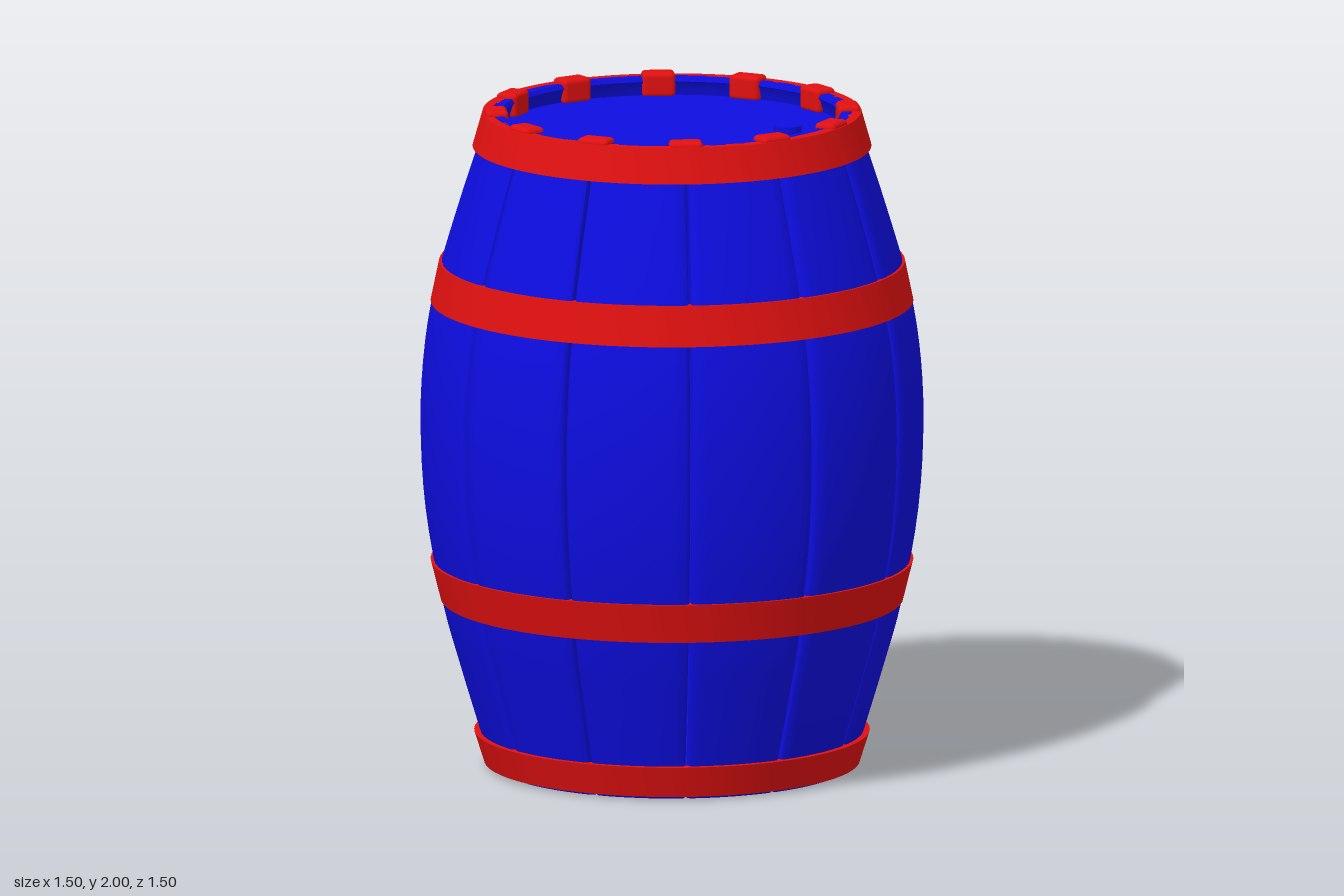
import * as THREE from 'three';
import { toCreasedNormals } from 'three/addons/utils/BufferGeometryUtils.js';
import { RoundedBoxGeometry } from 'three/addons/geometries/RoundedBoxGeometry.js';

const STAVES = 12;
const STEP = (Math.PI * 2) / STAVES;
const THICK = 0.045;
const TOP = 1.985;

// Outer outline of the bulging body: radius, height
const outline = new THREE.SplineCurve([
  [0.54, 0], [0.57, 0.1], [0.63, 0.3], [0.685, 0.5], [0.735, 0.78], [0.75, 1.05],
  [0.737, 1.28], [0.7, 1.48], [0.63, 1.72], [0.578, 1.88], [0.545, TOP],
].map(([r, y]) => new THREE.Vector2(r, y)));

// Cross-section of one plank: t = side to side, e = gap to the neighbour, d = depth
function plankSection() {
  const pts = [];
  const edge = [[0.003, 0.02], [0.006, 0.007], [0.015, 0]];
  for (const [e, d] of edge) pts.push({ t: -1, e, d });
  for (let i = 1; i < 8; i++) pts.push({ t: -1 + i / 4, e: 0, d: 0 });
  for (const [e, d] of [...edge].reverse()) pts.push({ t: 1, e, d });
  for (let i = 0; i <= 4; i++) {
    const t = 1 - i / 2;
    pts.push({ t, e: Math.abs(t) === 1 ? 0.003 : 0, d: THICK });
  }
  return pts;
}

// Plank lofted along the outline, with softened, closed ends
function plankGeometry() {
  const section = plankSection();
  const n = section.length;
  const mid = THICK / 2;
  const rows = outline.getPoints(40).map((p) => ({ r: p.x, y: p.y, squash: 1 }));
  const first = rows[0], last = rows[rows.length - 1];
  rows[0] = { ...first, y: 0.012 };
  rows[rows.length - 1] = { ...last, y: TOP - 0.012 };
  rows.unshift({ ...first, squash: 0 }, { ...first, squash: 0.65 });
  rows.push({ ...last, squash: 0.65 }, { ...last, squash: 0 });

  const position = [], index = [];
  for (const { r, y, squash } of rows) {
    for (const { t, e, d } of section) {
      const radius = r - (mid + (d - mid) * squash);
      const a = t * STEP / 2 - Math.sign(t) * e / r;
      position.push(radius * Math.sin(a), y, radius * Math.cos(a));
    }
  }
  for (let j = 0; j < rows.length - 1; j++) {
    for (let i = 0; i < n; i++) {
      const a = j * n + i, b = j * n + (i + 1) % n;
      index.push(a, b, b + n, a, b + n, a + n);
    }
  }
  const g = new THREE.BufferGeometry();
  g.setAttribute('position', new THREE.Float32BufferAttribute(position, 3));
  g.setIndex(index);
  return toCreasedNormals(g, 0.7);
}

// Conical band with a rectangular cross-section
function hoopGeometry(y0, r0, y1, r1) {
  const w = 0.035;
  const pts = [[r0, y0], [r1, y1], [r1 - w, y1], [r0 - w, y0], [r0, y0]];
  return toCreasedNormals(
    new THREE.LatheGeometry(pts.map(([r, y]) => new THREE.Vector2(r, y)), 72), 0.6);
}

export function createModel() {
  const blue = new THREE.MeshStandardMaterial({ color: 0x0d0de0 });
  const red = new THREE.MeshStandardMaterial({ color: 0xe01010 });
  const model = new THREE.Group();
  model.name = 'barrel';
  const add = (name, geometry, material, x = 0, y = 0, z = 0, turn = 0) => {
    const mesh = new THREE.Mesh(geometry, material);
    mesh.name = name;
    mesh.position.set(x, y, z);
    mesh.rotation.y = turn;
    model.add(mesh);
  };

  // Staves, and a clip over each joint at the top rim
  const plank = plankGeometry();
  const clip = new RoundedBoxGeometry(0.1, 0.075, 0.068, 3, 0.014);
  for (let i = 0; i < STAVES; i++) {
    add('stave', plank, blue, 0, 0, 0, i * STEP);
    const a = (i + 0.5) * STEP;
    add('rimClip', clip, red, 0.526 * Math.sin(a), 1.9625, 0.526 * Math.cos(a), a);
  }

  // Hoops
  add('bottomHoop', hoopGeometry(0.01, 0.56, 0.105, 0.59), red);
  add('lowerHoop', hoopGeometry(0.505, 0.69, 0.625, 0.72), red);
  add('upperHoop', hoopGeometry(1.41, 0.72, 1.53, 0.695), red);
  add('topHoop', hoopGeometry(1.88, 0.595, 1.985, 0.565), red);

  // Recessed lid with its bung, and the base
  add('lid', new THREE.CylinderGeometry(0.515, 0.515, 0.04, 72), blue, 0, 1.91);
  add('bung', new THREE.CylinderGeometry(0.042, 0.042, 0.03, 32), blue, 0.35, 1.94);
  add('base', new THREE.CylinderGeometry(0.525, 0.515, 0.04, 72), blue, 0, 0.024);
  return model;
}
